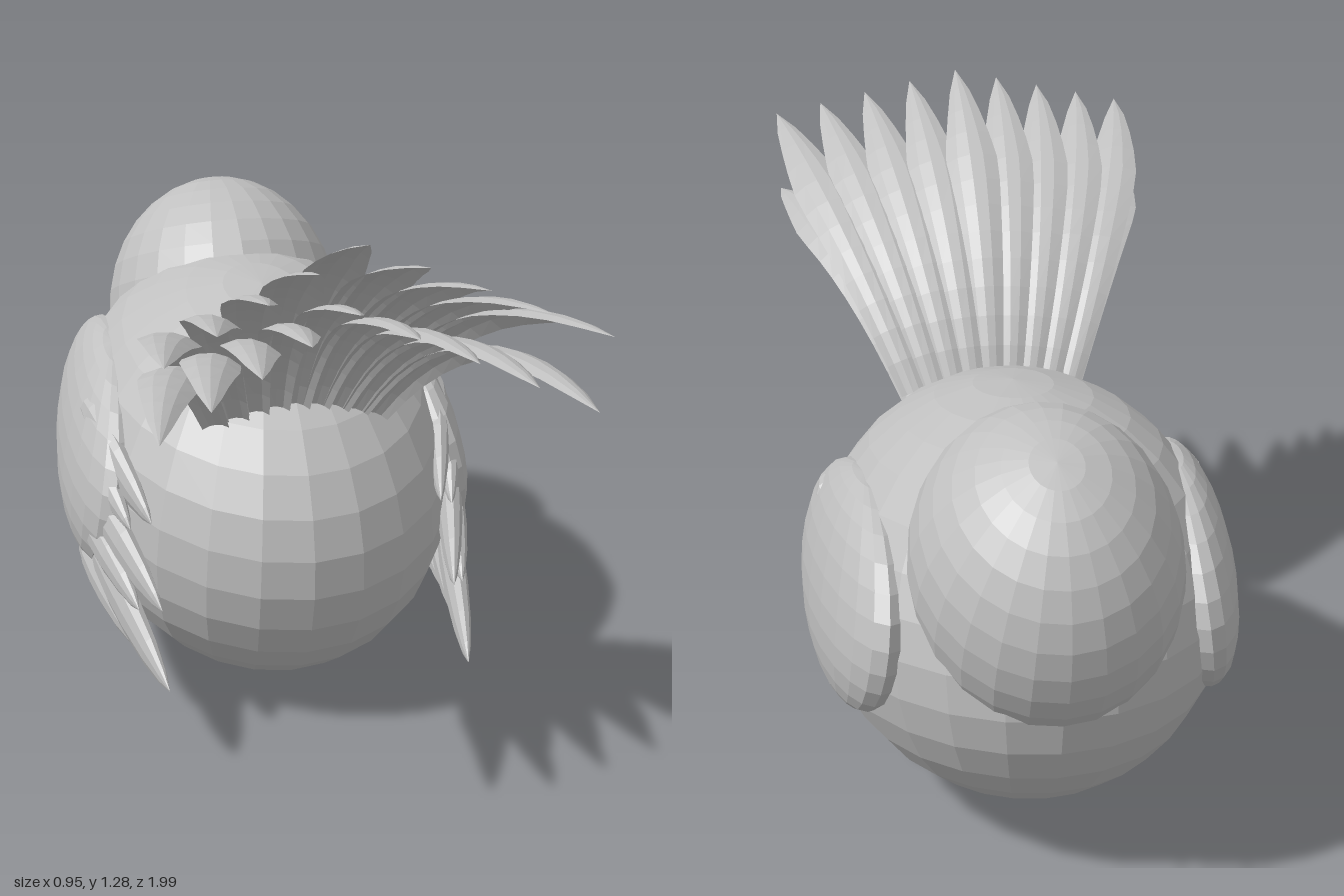
import * as THREE from 'three';

const V = (x, y, z) => new THREE.Vector3(x, y, z);

export function createModel() {
  const bird = new THREE.Group();
  bird.name = 'bird';
  const grey = new THREE.MeshStandardMaterial({ color: 0xc0c0c0, flatShading: true, side: THREE.DoubleSide });
  grey.name = 'plumageGrey';

  const add = (parent, name, geometry) => {
    const mesh = new THREE.Mesh(geometry, grey);
    mesh.name = name;
    parent.add(mesh);
    return mesh;
  };
  const ellipsoid = (parent, name, pos, radii, rot, w, h) => {
    const mesh = add(parent, name, new THREE.SphereGeometry(1, w, h).scale(...radii));
    mesh.position.set(...pos);
    mesh.rotation.set(...rot);
    return mesh;
  };

  // Plump body and head, the head facing -z
  ellipsoid(bird, 'body', [0, 0.46, -0.27], [0.45, 0.453, 0.645], [0.17, 0, 0], 24, 16);
  ellipsoid(bird, 'head', [0, 0.7, -0.66], [0.285, 0.33, 0.34], [-0.42, 0, 0], 24, 16);

  // Wing feather: rounded base, widest near the middle, pointed tip
  const profile = [[0, 0], [0.6, 0.04], [0.88, 0.14], [1, 0.32], [0.95, 0.52], [0.7, 0.75], [0.36, 0.91], [0, 1]]
    .map(([r, y]) => new THREE.Vector2(r, y));
  const wingFeather = (parent, name, base, tip, width, thick) => {
    const dir = tip.clone().sub(base);
    const length = dir.length();
    dir.normalize();
    const out = V(Math.sign(base.x), 0, 0).addScaledVector(dir, -Math.sign(base.x) * dir.x).normalize();
    const across = out.clone().cross(dir);
    const frame = new THREE.Matrix4().makeBasis(out, dir, across).setPosition(base);
    add(parent, name, new THREE.LatheGeometry(profile, 10)
      .scale(thick, length, width / 2).applyMatrix4(frame));
  };

  // Each entry: base x, y, z, tip x, y, z, width
  const feathers = [
    [0.42, 0.64, -0.19, 0.33, 0.49, 0.20, 0.12],
    [0.43, 0.59, -0.14, 0.37, 0.46, 0.15, 0.09],
    [0.43, 0.47, -0.10, 0.33, 0.335, 0.32, 0.13],
    [0.44, 0.42, -0.12, 0.37, 0.31, 0.25, 0.10],
    [0.42, 0.34, -0.08, 0.335, 0.195, 0.43, 0.12],
    [0.43, 0.30, -0.18, 0.37, 0.20, 0.20, 0.09],
    [0.42, 0.285, -0.27, 0.385, 0.205, 0.09, 0.08],
    [0.41, 0.28, -0.38, 0.39, 0.21, -0.02, 0.08],
  ];
  for (const s of [1, -1]) {
    const wing = new THREE.Group();
    wing.name = s > 0 ? 'leftWing' : 'rightWing';
    bird.add(wing);
    ellipsoid(wing, 'wingShoulder', [s * 0.365, 0.51, -0.33], [0.1, 0.25, 0.42],
      [0.14, s * 0.08, s * 0.12], 20, 14);
    for (const [bx, by, bz, tx, ty, tz, width] of feathers)
      wingFeather(wing, 'wingFeather', V(s * bx, by, bz), V(s * tx, ty, tz), width, 0.028);
  }

  // Tail feather: an arched strip swept along a curve and narrowing to a point
  const tailFeather = (parent, name, curve, roll) => {
    const positions = [], index = [];
    const rows = 12, cols = 4;
    for (let i = 0; i <= rows; i++) {
      const u = i / rows;
      const p = curve.getPoint(u), t = curve.getTangent(u);
      const side = V(1, 0, 0).addScaledVector(t, -t.x).normalize().applyAxisAngle(t, roll);
      const up = t.clone().cross(side);
      const half = (0.03 + 0.032 * Math.min(1, u / 0.6)) * (u < 0.68 ? 1 : Math.pow((1 - u) / 0.32, 0.7));
      for (let j = 0; j <= cols; j++) {
        const v = (j / cols) * 2 - 1;
        const q = p.clone().addScaledVector(side, half * v).addScaledVector(up, -0.35 * half * v * v);
        positions.push(q.x, q.y, q.z);
        if (i < rows && j < cols) {
          const a = i * (cols + 1) + j, b = a + cols + 1;
          index.push(a, b, a + 1, b, b + 1, a + 1);
        }
      }
    }
    const g = new THREE.BufferGeometry();
    g.setAttribute('position', new THREE.Float32BufferAttribute(positions, 3));
    g.setIndex(index);
    g.computeVertexNormals();
    add(parent, name, g);
  };

  // Two fanned layers of nine feathers, rising and curling back over +z
  const tail = new THREE.Group();
  tail.name = 'tail';
  bird.add(tail);
  const layers = [
    { name: 'upperTailFeather', baseY: 0.745, ctrl: [1.15, 0.33], tip: [1.285, 0.81], dCtrl: [-0.03, 0.06], dTip: [-0.155, 0.185] },
    { name: 'lowerTailFeather', baseY: 0.735, ctrl: [1.1, 0.36], tip: [1.125, 0.75], dCtrl: [-0.01, 0.08], dTip: [-0.17, 0.18] },
  ];
  for (const { name, baseY, ctrl, tip, dCtrl, dTip } of layers) {
    for (let k = -4; k <= 4; k++) {
      const f = k / 4, a = Math.abs(f);
      tailFeather(tail, name, new THREE.QuadraticBezierCurve3(
        V(0.18 * f, baseY - 0.03 * a * a, 0.175),
        V(0.33 * f, ctrl[0] + dCtrl[0] * a, ctrl[1] + dCtrl[1] * a),
        V(0.432 * f, tip[0] + dTip[0] * a, tip[1] + dTip[1] * a)), -0.2);
    }
  }
  return bird;
}
